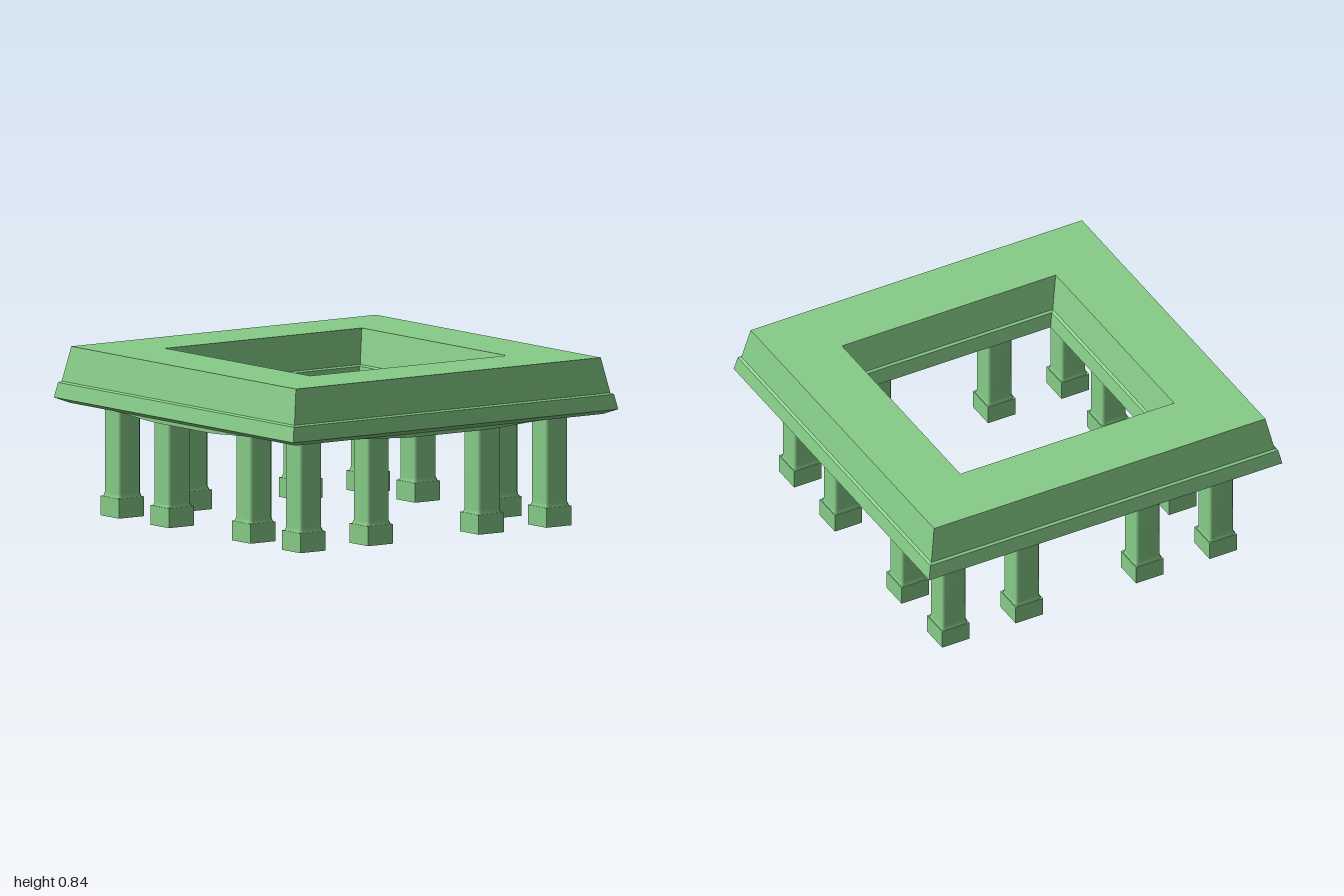
import * as THREE from 'three';

const mat = new THREE.MeshStandardMaterial({ color: 0x86cc88, flatShading: true });
const smoothMat = new THREE.MeshStandardMaterial({ color: 0x86cc88 });

function part(name, geometry, material = mat) {
  const mesh = new THREE.Mesh(geometry, material);
  mesh.name = name;
  return mesh;
}

// Square with cut corners, half width h and chamfer c
function chamferedSquare(h, c) {
  const k = h - c;
  return [[h, -k], [h, k], [k, h], [-k, h], [-h, k], [-h, -k], [-k, -h], [k, -h]];
}

// Shaft walls lofted through [halfWidth, y] sections, with softly blended normals
function shaftGeometry(sections, chamfer) {
  const pos = [], index = [];
  sections.forEach(([h, y], s) => {
    chamferedSquare(h, chamfer).forEach(([x, z], i) => {
      pos.push(x, y, z);
      if (s === 0) return;
      const j = (i + 1) % 8, a = (s - 1) * 8, b = s * 8;
      index.push(a + i, b + i, a + j, a + j, b + i, b + j);
    });
  });
  const g = new THREE.BufferGeometry();
  g.setAttribute('position', new THREE.Float32BufferAttribute(pos, 3));
  g.setIndex(index);
  g.computeVertexNormals();
  return g;
}

export function createModel() {
  const model = new THREE.Group();

  // Square ring roof: closed cross-section [half size, y] swept round four sides
  const section = [
    [0.945, 0.56], [1, 0.585], [0.985, 0.66], [0.972, 0.667], [0.938, 0.842],
    [0.605, 0.842], [0.568, 0.667], [0.555, 0.66], [0.54, 0.585], [0.6, 0.56], [0.945, 0.56],
  ].map(([r, y]) => new THREE.Vector2(r * Math.SQRT2, y));
  model.add(part('roofRing', new THREE.LatheGeometry(section, 4, Math.PI / 4)));

  // Shallow swelling under the middle of each roof side
  const belly = new THREE.Shape();
  belly.moveTo(0.6, 0.565);
  belly.lineTo(-0.6, 0.565);
  belly.lineTo(-0.6, 0.56);
  belly.bezierCurveTo(-0.42, 0.557, -0.34, 0.542, -0.2, 0.541);
  belly.lineTo(0.2, 0.541);
  belly.bezierCurveTo(0.34, 0.542, 0.42, 0.557, 0.6, 0.56);
  const bellyGeo = new THREE.ExtrudeGeometry(belly, { depth: 0.345, bevelEnabled: false, curveSegments: 8 });
  bellyGeo.translate(0, 0, 0.6);
  for (let i = 0; i < 4; i++) {
    const b = part('roofUnderside', bellyGeo);
    b.rotation.y = i * Math.PI / 2;
    model.add(b);
  }

  // Twelve pillars: three grouped at each corner
  const shaftGeo = shaftGeometry([[0.074, 0.097], [0.067, 0.118], [0.067, 0.57]], 0.012);
  const baseGeo = new THREE.BoxGeometry(0.155, 0.098, 0.155).translate(0, 0.049, 0);
  for (const sx of [-1, 1]) {
    for (const sz of [-1, 1]) {
      for (const [x, z] of [[0.757, 0.757], [0.341, 0.757], [0.757, 0.341]]) {
        const pillar = new THREE.Group();
        pillar.name = 'pillar';
        pillar.add(part('pillarShaft', shaftGeo, smoothMat), part('pillarBase', baseGeo));
        pillar.position.set(sx * x, 0, sz * z);
        model.add(pillar);
      }
    }
  }
  return model;
}
